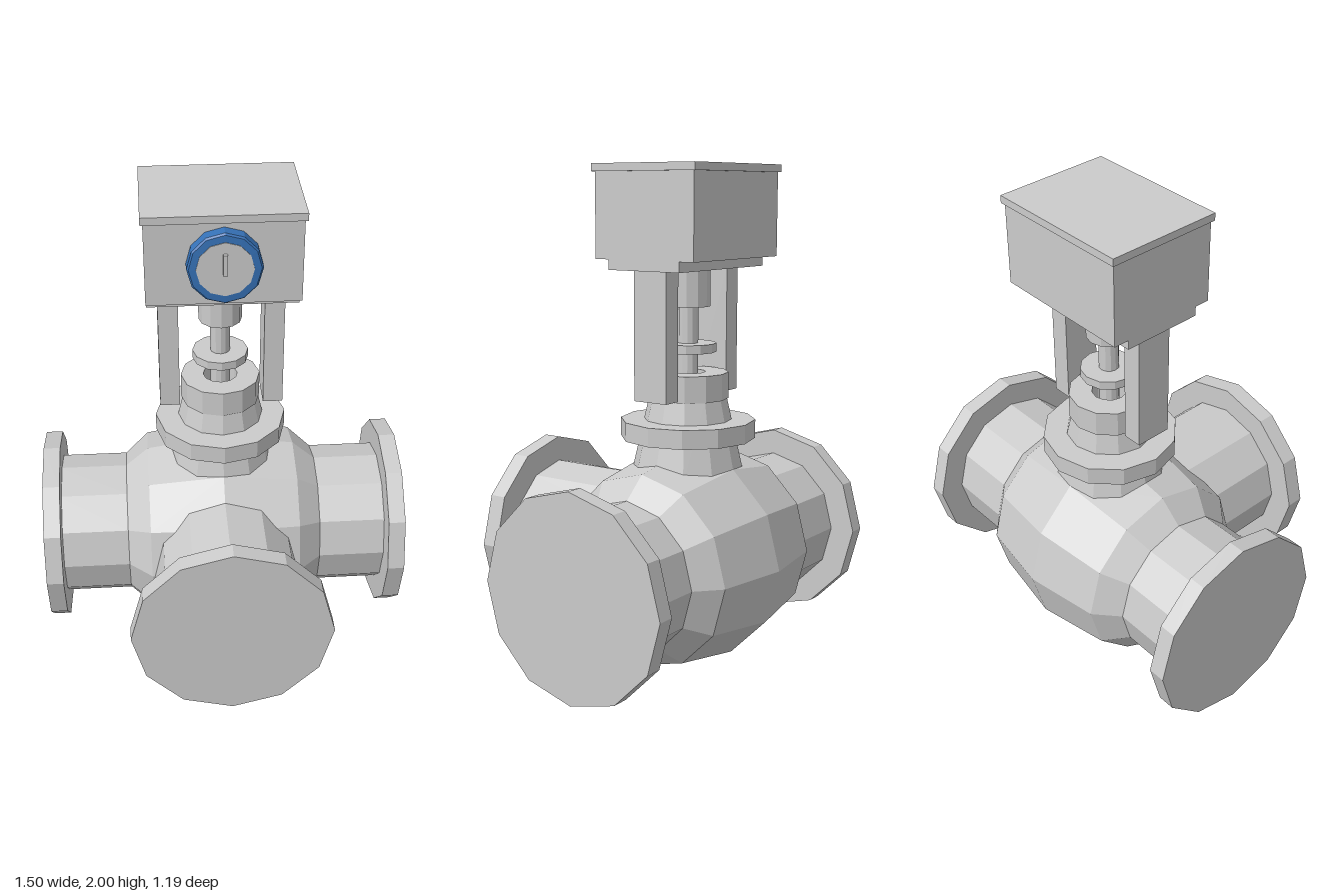
import * as THREE from 'three';

export function createModel() {
  const model = new THREE.Group();
  const metal = new THREE.MeshStandardMaterial({ color: 0xcbcbcb, flatShading: true });
  metal.name = 'grey metal';
  const blue = new THREE.MeshStandardMaterial({ color: 0x3672b8, flatShading: true });
  blue.name = 'blue bezel';

  const SIDES = 12;
  const AXIS_Y = 0.44; // height of the pipe axes
  const AXIS_Z = -0.16; // depth of the cross pipe and the stem

  const add = (name, geometry, material = metal) => {
    const mesh = new THREE.Mesh(geometry, material);
    mesh.name = name;
    model.add(mesh);
    return mesh;
  };
  const box = (name, x0, x1, y0, y1, z0, z1) =>
    add(name, new THREE.BoxGeometry(x1 - x0, y1 - y0, z1 - z0))
      .position.set((x0 + x1) / 2, (y0 + y1) / 2, (z0 + z1) / 2);
  const lathe = (points) =>
    new THREE.LatheGeometry(points.map(([r, y]) => new THREE.Vector2(r, y)), SIDES);
  // Cylinder between two positions along x, or along z
  const alongX = (name, r, x0, x1) =>
    add(name, new THREE.CylinderGeometry(r, r, x1 - x0, SIDES)
      .rotateZ(-Math.PI / 2).translate((x0 + x1) / 2, AXIS_Y, AXIS_Z));
  const alongZ = (name, r, z0, z1, y, material) =>
    add(name, new THREE.CylinderGeometry(r, r, z1 - z0, SIDES)
      .rotateX(Math.PI / 2).translate(0, y, (z0 + z1) / 2), material);
  // Upright cylinder or cone on the stem axis
  const upright = (name, rBottom, rTop, y0, y1) =>
    add(name, new THREE.CylinderGeometry(rTop, rBottom, y1 - y0, SIDES)
      .translate(0, (y0 + y1) / 2, AXIS_Z));

  // Bulging valve body, turned about the cross pipe axis
  add('valveBody', lathe([
    [0, -0.405], [0.3, -0.405], [0.385, -0.31], [0.435, 0],
    [0.385, 0.31], [0.3, 0.405], [0, 0.405],
  ]).rotateZ(-Math.PI / 2).translate(0, AXIS_Y, AXIS_Z));

  // Three ports with flanges
  alongX('rightPipe', 0.3, -0.69, -0.4);
  alongX('leftPipe', 0.3, 0.4, 0.69);
  alongX('rightFlange', 0.405, -0.75, -0.68);
  alongX('leftFlange', 0.405, 0.68, 0.75);
  alongZ('frontPipe', 0.3, -0.1, 0.53, AXIS_Y);
  alongZ('frontFlange', 0.405, 0.522, 0.595, AXIS_Y);

  // Bonnet with a bored collar for the stem
  upright('bonnetCone', 0.228, 0.155, 0.77, 1.09);
  upright('bonnetFlange', 0.27, 0.27, 0.925, 1);
  add('bonnetCollar', lathe([
    [0, 1.085], [0.162, 1.085], [0.162, 1.19], [0.07, 1.19], [0.07, 1.1], [0, 1.1],
  ]).translate(0, 0, AXIS_Z));

  // Stem
  upright('stem', 0.04, 0.04, 1.09, 1.46);
  upright('stemDisc', 0.113, 0.113, 1.27, 1.305);
  upright('stemCoupling', 0.087, 0.087, 1.45, 1.6);

  // Yoke posts carrying the actuator
  box('rightPost', -0.25, -0.17, 1.095, 1.6, -0.23, -0.08);
  box('leftPost', 0.17, 0.25, 1.095, 1.6, -0.23, -0.08);

  // Actuator housing
  box('basePlate', -0.293, 0.293, 1.6, 1.64, -0.32, 0.01);
  box('housing', -0.295, 0.295, 1.64, 1.97, -0.385, 0.07);
  box('lid', -0.305, 0.305, 1.97, 2, -0.395, 0.08);

  // Dial: bevelled blue ring, grey face and a pointer
  add('dialRing', lathe([
    [0.105, 0], [0.142, 0], [0.142, 0.05], [0.135, 0.056], [0.108, 0.058], [0.105, 0.05],
  ]).rotateX(Math.PI / 2).translate(0, 1.81, 0.069), blue);
  alongZ('dialFace', 0.108, 0.065, 0.13, 1.81);
  box('dialPointer', -0.008, 0.008, 1.79, 1.873, 0.125, 0.145);

  return model;
}
